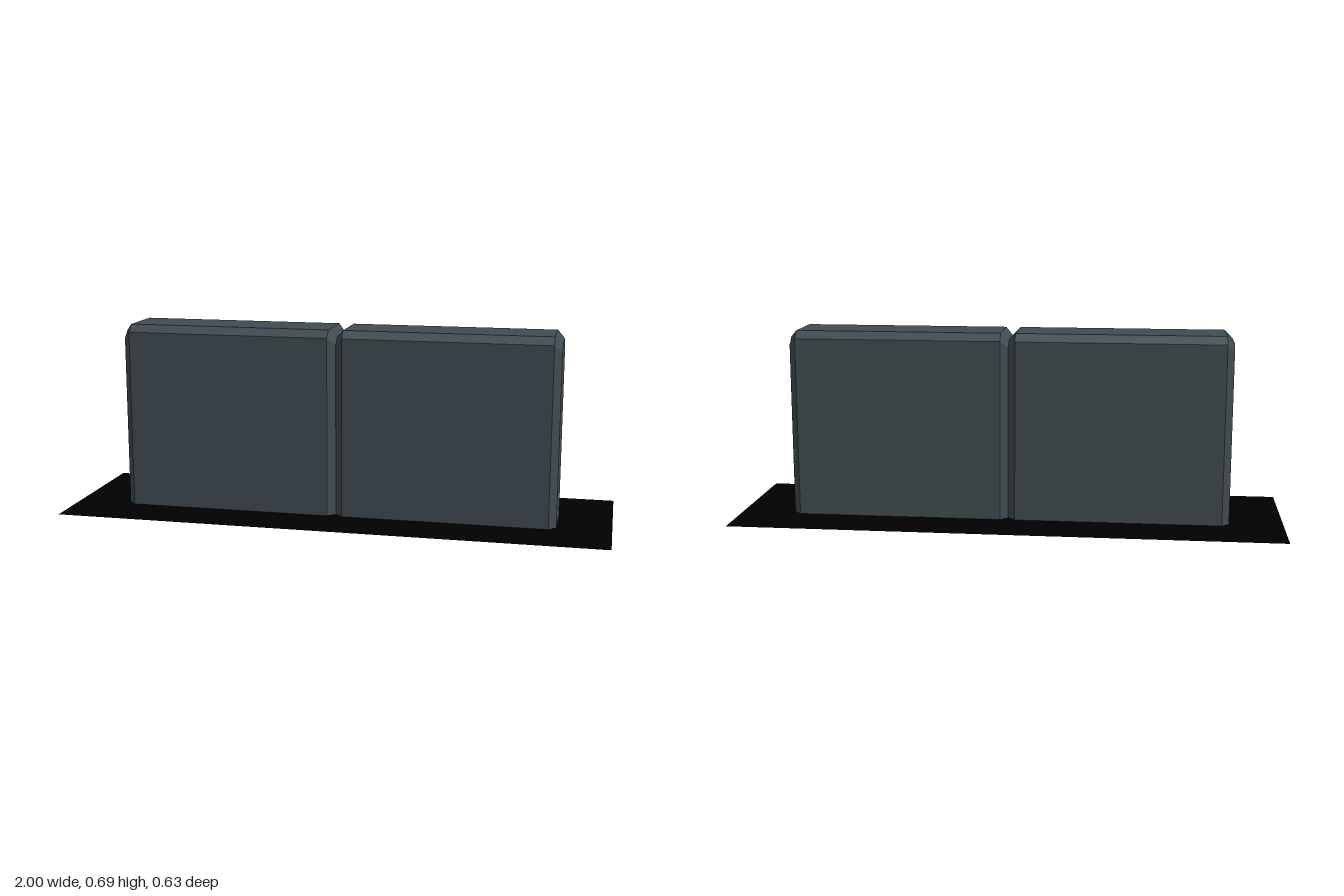
import * as THREE from 'three';

const W = 0.805, H = 0.685, D = 0.12, B = 0.027; // block length, height, half depth, bevel

// Upright outline with cut top corners, as [z, y], inset by i (the foot stays on the ground)
function outline(i) {
  const d = D - i, h = H - i;
  return [[d, 0], [d, h - B], [d - B, h], [-d + B, h], [-d, h - B], [-d, 0]];
}

// Block lofted along x, bevelled at both ends and along the top, open underneath
function blockGeometry() {
  const rings = [[-W / 2, B], [-W / 2 + B, 0], [W / 2 - B, 0], [W / 2, B]];
  const pos = [], idx = [], n = 6;
  for (const [x, inset] of rings) for (const [z, y] of outline(inset)) pos.push(x, y, z);
  for (let r = 0; r < 3; r++) {
    for (let k = 0; k < n - 1; k++) {
      const a = r * n + k, b = a + 1;
      idx.push(a, b + n, b, a, a + n, b + n);
    }
  }
  for (let k = 1; k < n - 1; k++) {
    idx.push(0, k, k + 1);
    idx.push(3 * n, 3 * n + k + 1, 3 * n + k);
  }
  // wind every face outwards from the block's centre
  const c = new THREE.Vector3(0, H / 2, 0);
  const p = (i) => new THREE.Vector3().fromArray(pos, i * 3);
  for (let t = 0; t < idx.length; t += 3) {
    const a = p(idx[t]), b = p(idx[t + 1]), d = p(idx[t + 2]);
    const normal = b.clone().sub(a).cross(d.clone().sub(a));
    if (normal.dot(a.sub(c)) < 0) [idx[t + 1], idx[t + 2]] = [idx[t + 2], idx[t + 1]];
  }
  const g = new THREE.BufferGeometry();
  g.setAttribute('position', new THREE.Float32BufferAttribute(pos, 3));
  g.setIndex(idx);
  const flat = g.toNonIndexed();
  flat.computeVertexNormals();
  return flat;
}

export function createModel() {
  const slate = new THREE.MeshStandardMaterial({ color: 0x404b51 });
  slate.name = 'slate';
  const black = new THREE.MeshStandardMaterial({ color: 0x000000, side: THREE.DoubleSide });
  black.name = 'black';
  const grey = new THREE.MeshStandardMaterial({ color: 0x949090 });
  grey.name = 'grey';

  const model = new THREE.Group();
  model.name = 'barrier';
  const add = (name, geometry, material) => {
    const mesh = new THREE.Mesh(geometry, material);
    mesh.name = name;
    model.add(mesh);
    return mesh;
  };

  // flat ground sheet
  add('basePlate', new THREE.PlaneGeometry(2, 0.63).rotateX(-Math.PI / 2), black);

  // two bevelled blocks, end to end
  const block = blockGeometry();
  add('leftBlock', block, slate).position.x = W / 2;
  add('rightBlock', block, slate).position.x = -W / 2;

  // thin panel on the right end
  const shape = new THREE.Shape(outline(B).map(([z, y]) => new THREE.Vector2(z, y)));
  const panel = add('endPanel', new THREE.ShapeGeometry(shape), grey);
  panel.rotation.y = -Math.PI / 2;
  panel.position.x = -W - 0.001;
  return model;
}
